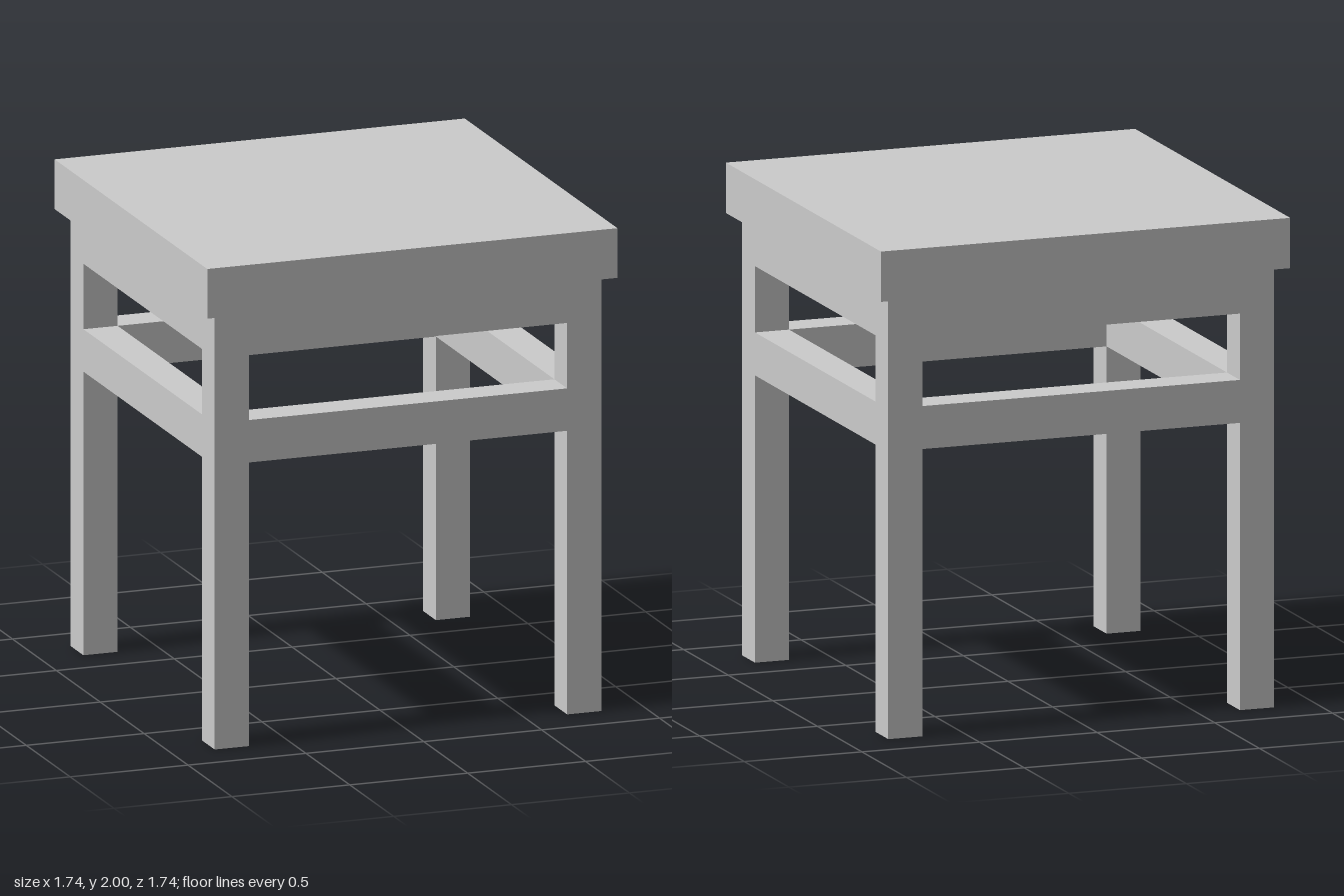
import * as THREE from 'three';

const material = new THREE.MeshStandardMaterial({ color: 0xcccccc, flatShading: true });

const OUTER = 0.82;            // outer face of the frame
const LEG = 0.145;             // leg and rail thickness
const CENTRE = OUTER - LEG / 2;
const SPAN = 2 * (OUTER - LEG); // clear distance between legs
const SEAT_BOTTOM = 1.795;

// Box resting on height y0 and reaching y1
function box(name, width, depth, y0, y1, x = 0, z = 0) {
  const mesh = new THREE.Mesh(new THREE.BoxGeometry(width, y1 - y0, depth), material);
  mesh.name = name;
  mesh.position.set(x, (y0 + y1) / 2, z);
  return mesh;
}

// Four matching rails joining the legs, flush with their faces
function railRing(name, y0, y1) {
  const ring = new THREE.Group();
  ring.name = name + 's';
  for (const [side, s] of [['front', 1], ['back', -1]]) {
    ring.add(box(`${side}${name}`, SPAN, LEG, y0, y1, 0, s * CENTRE));
  }
  for (const [side, s] of [['left', 1], ['right', -1]]) {
    ring.add(box(`${side}${name}`, LEG, SPAN, y0, y1, s * CENTRE, 0));
  }
  return ring;
}

export function createModel() {
  const stool = new THREE.Group();
  stool.name = 'stool';

  // Seat slab
  stool.add(box('seat', 1.74, 1.74, SEAT_BOTTOM, 2));

  // Legs
  for (const [end, sz] of [['front', 1], ['back', -1]]) {
    for (const [side, sx] of [['Left', 1], ['Right', -1]]) {
      stool.add(box(`${end}${side}Leg`, LEG, LEG, 0, SEAT_BOTTOM, sx * CENTRE, sz * CENTRE));
    }
  }

  // Apron under the seat and stretchers below it
  stool.add(railRing('Apron', 1.615, SEAT_BOTTOM));
  stool.add(railRing('Stretcher', 1.17, 1.345));
  return stool;
}
